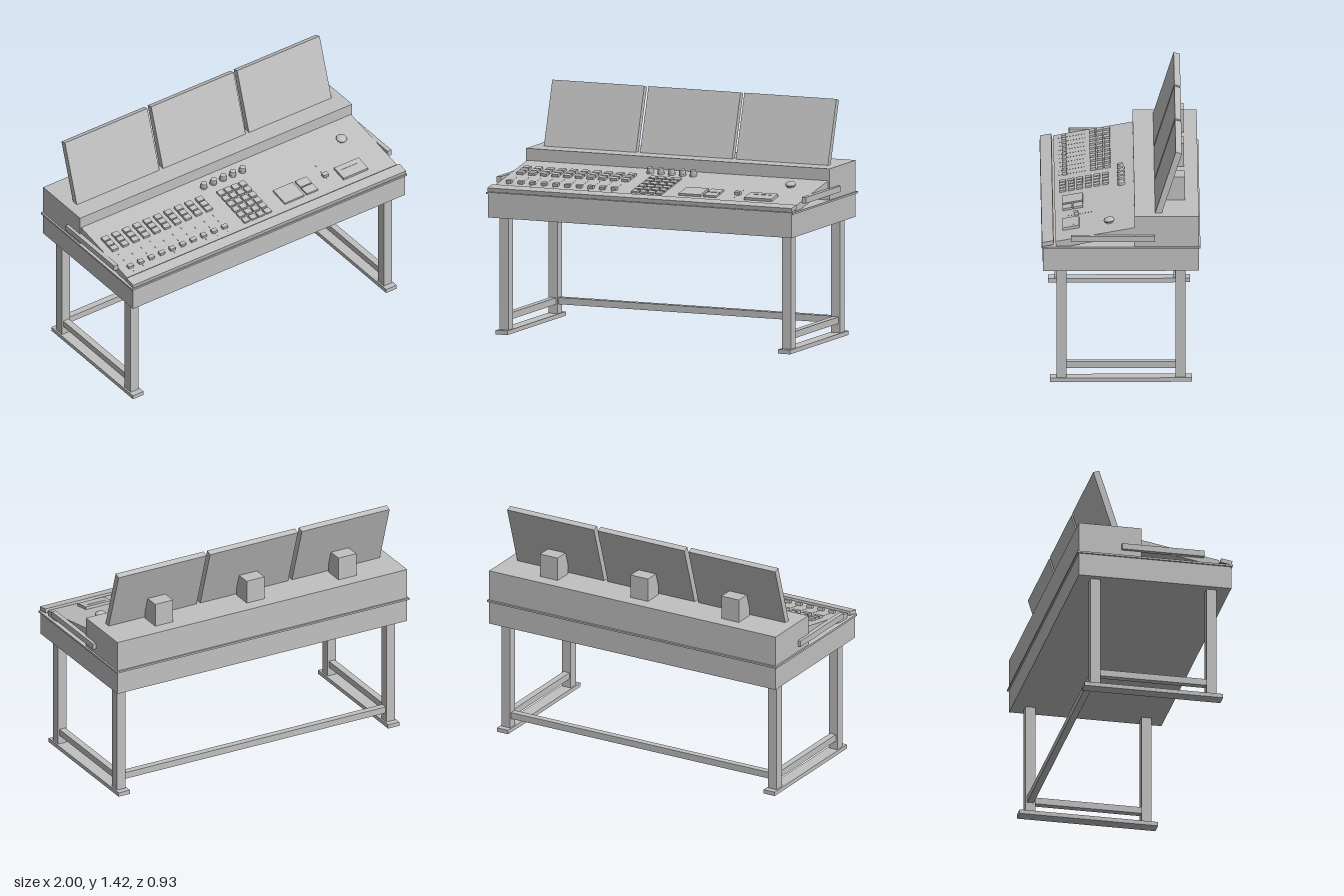
import * as THREE from 'three';

export function createModel() {
  const model = new THREE.Group();
  const grey = new THREE.MeshStandardMaterial({ color: 0xc0c0c0 });
  grey.name = 'grey';

  function add(parent, name, geometry, x = 0, y = 0, z = 0) {
    const mesh = new THREE.Mesh(geometry, grey);
    mesh.name = name;
    mesh.position.set(x, y, z);
    parent.add(mesh);
    return mesh;
  }
  // box given by its limits
  function box(parent, name, x0, x1, y0, y1, z0, z1) {
    return add(parent, name, new THREE.BoxGeometry(x1 - x0, y1 - y0, z1 - z0),
      (x0 + x1) / 2, (y0 + y1) / 2, (z0 + z1) / 2);
  }

  // desk body
  box(model, 'deskBase', -0.98, 0.98, 0.7, 0.84, -0.457, 0.46);
  box(model, 'deskRim', -0.99, 0.99, 0.84, 0.851, -0.467, 0.467);
  box(model, 'rearHousing', -0.98, 0.98, 0.851, 1.037, -0.457, -0.08);

  // stand
  for (const s of [-1, 1]) {
    const stand = new THREE.Group();
    stand.name = s > 0 ? 'leftStand' : 'rightStand';
    stand.position.x = s * 0.912;
    box(stand, 'foot', -0.038, 0.038, 0, 0.025, -0.417, 0.417);
    box(stand, 'frontLeg', -0.029, 0.029, 0.025, 0.7, 0.32, 0.38);
    box(stand, 'backLeg', -0.029, 0.029, 0.025, 0.7, -0.38, -0.32);
    box(stand, 'sideStretcher', -0.02, 0.02, 0.08, 0.12, -0.32, 0.32);
    model.add(stand);
    // side rails beside the control panel
    const x = s * 0.985;
    box(model, 'sideRail', x - 0.014, x + 0.014, 0.885, 0.921, -0.2, 0.295);
  }
  box(model, 'rearStretcher', -0.885, 0.885, 0.08, 0.12, -0.37, -0.33);

  // leaning screens with a mount behind each
  for (const x of [-0.621, 0, 0.619]) {
    const screen = new THREE.Group();
    screen.name = 'screenUnit';
    screen.position.set(x, 1.035, -0.2);
    screen.rotation.x = -0.31;
    box(screen, 'screen', -0.297, 0.297, 0, 0.4, -0.038, 0);
    model.add(screen);
    box(model, 'screenMount', x - 0.06, x + 0.06, 1.03, 1.18, -0.377, -0.255);
  }

  // sloping control panel; local y = 0 is its upper surface
  const panel = new THREE.Group();
  panel.name = 'controlPanel';
  panel.position.y = 0.951;
  panel.rotation.x = 0.18;
  model.add(panel);
  box(panel, 'panelSlab', -0.972, 0.972, -0.043, 0, -0.085, 0.393);

  const wrist = add(model, 'frontStrip', new THREE.BoxGeometry(1.965, 0.025, 0.068), 0, 0.871, 0.43);
  wrist.rotation.x = 0.18;

  // low control centred at x, z
  const key = (name, x, z, w, d, h) =>
    box(panel, name, x - w / 2, x + w / 2, -0.002, h, z - d / 2, z + d / 2);

  // channel strips: three buttons, slot and fader
  for (let i = 0; i < 10; i++) {
    const x = -0.904 + i * 0.0753;
    for (const z of [0.072, 0.115, 0.158]) key('channelButton', x, z, 0.043, 0.035, 0.016);
    key('faderSlot', x, 0.285, 0.004, 0.16, 0.001);
    key('faderCap', x, 0.328, 0.034, 0.025, 0.018);
  }

  // keypad
  for (let c = 0; c < 4; c++)
    for (let r = 0; r < 6; r++) key('keypadKey', -0.083 + c * 0.052, 0.087 + r * 0.051, 0.04, 0.038, 0.012);

  // rotary knobs
  for (let i = 0; i < 5; i++) {
    const x = -0.143 + i * 0.0695;
    add(panel, 'knobSkirt', new THREE.CylinderGeometry(0.022, 0.022, 0.012, 20), x, 0.006, -0.007);
    add(panel, 'knob', new THREE.CylinderGeometry(0.017, 0.02, 0.024, 20), x, 0.023, -0.007);
  }

  // right-hand controls
  key('touchPad', 0.267, 0.285, 0.14, 0.122, 0.013);
  key('upperPad', 0.396, 0.252, 0.08, 0.057, 0.012);
  key('lowerPad', 0.396, 0.316, 0.08, 0.057, 0.012);
  key('masterSlot', 0.543, 0.24, 0.004, 0.15, 0.001);
  key('masterFader', 0.543, 0.264, 0.034, 0.026, 0.02);
  key('cardReader', 0.708, 0.297, 0.176, 0.1, 0.016);
  key('cardSlit', 0.705, 0.28, 0.125, 0.006, 0.018);

  // joystick with rounded cap
  const cap = [[0, 0], [0.03, 0], [0.033, 0.007], [0.028, 0.016], [0.015, 0.022], [0, 0.024]]
    .map(([r, y]) => new THREE.Vector2(r, y));
  add(panel, 'joystickStem', new THREE.CylinderGeometry(0.018, 0.022, 0.012, 20), 0.797, 0.006, 0.068);
  add(panel, 'joystickCap', new THREE.LatheGeometry(cap, 24), 0.797, 0.01, 0.068);

  return model;
}
